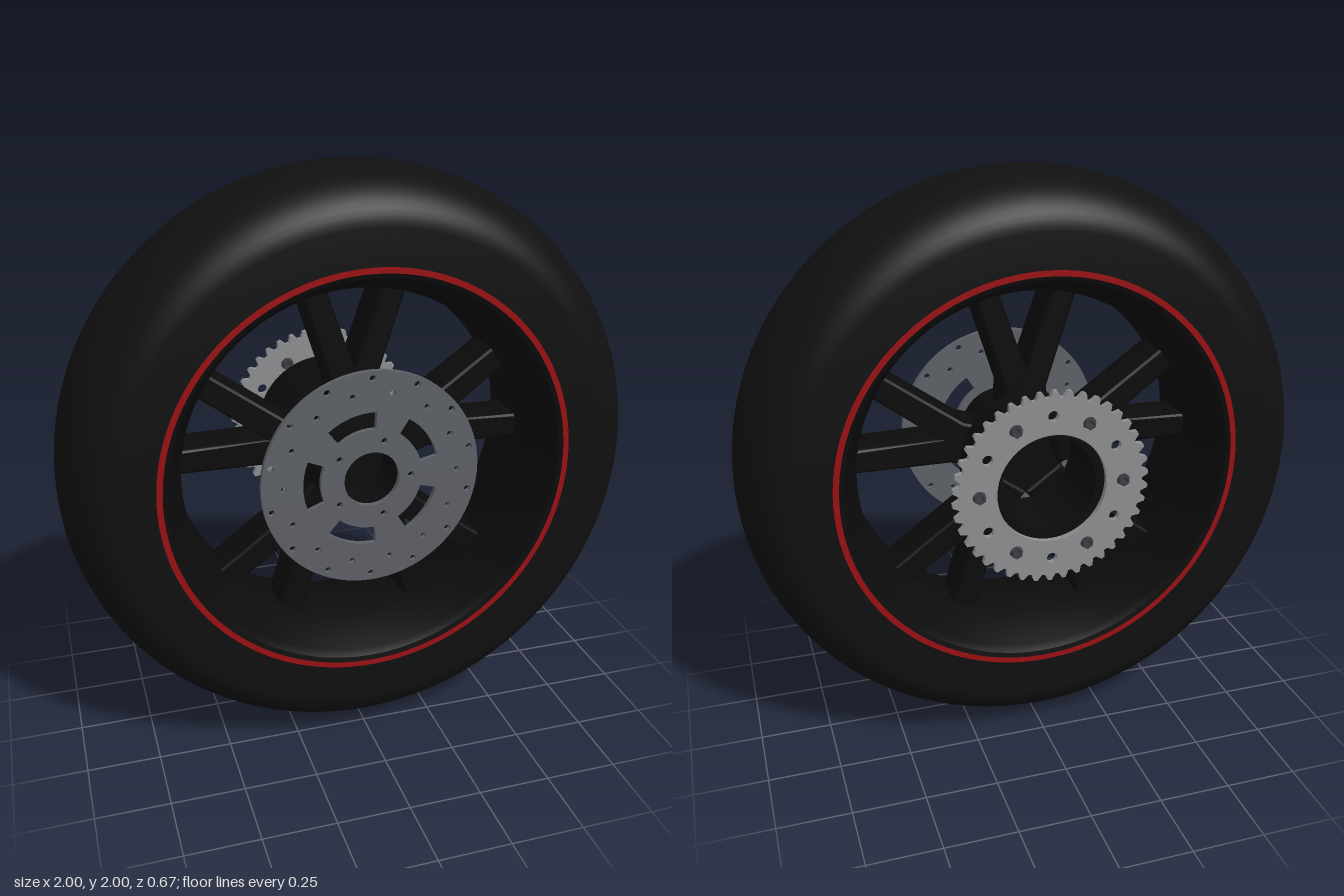
import * as THREE from 'three';
import { toCreasedNormals } from 'three/addons/utils/BufferGeometryUtils.js';

const mat = (name, color) => {
  const m = new THREE.MeshStandardMaterial({ color });
  m.name = name;
  return m;
};

export function createModel() {
  const rubber = mat('tyre black', 0x101010);
  const black = mat('rim black', 0x0b0b0b);
  const red = mat('stripe red', 0x990f12);
  const steel = mat('disc grey', 0x5d6066);
  const alloy = mat('sprocket grey', 0x8c8e90);
  const boltGrey = mat('bolt grey', 0x3a3c3f);

  const model = new THREE.Group();
  model.name = 'wheel';
  const wheel = new THREE.Group();
  wheel.name = 'wheelAssembly';
  wheel.position.y = 1;
  model.add(wheel);

  const add = (name, geometry, material, z = 0) => {
    const mesh = new THREE.Mesh(geometry, material);
    mesh.name = name;
    mesh.position.z = z;
    wheel.add(mesh);
    return mesh;
  };
  // Turned part about the z axis from [radius, z] pairs
  const turned = (pts, segments = 96) => toCreasedNormals(
    new THREE.LatheGeometry(pts.map(([r, z]) => new THREE.Vector2(r, z)), segments).rotateX(Math.PI / 2), 0.6);
  const polar = (r, a) => [r * Math.cos(a), r * Math.sin(a)];
  const hole = (x, y, r) => new THREE.Path().absarc(x, y, r, 0, Math.PI * 2, true);
  const holeRing = (shape, count, ringR, r, start) => {
    for (let i = 0; i < count; i++) {
      shape.holes.push(hole(...polar(ringR, start + i * 2 * Math.PI / count), r));
    }
  };
  const plate = (shape, depth, curveSegments = 12) => toCreasedNormals(
    new THREE.ExtrudeGeometry(shape, { depth, bevelEnabled: false, curveSegments }), 0.5);

  const midZ = 0.045, halfW = 0.285;

  // Tyre: flat sidewalls and an elliptical crown
  const tyre = [[0.70, -halfW]];
  for (let i = 0; i <= 28; i++) {
    const a = -Math.PI / 2 + i * Math.PI / 28;
    tyre.push([0.83 + 0.17 * Math.cos(a), halfW * Math.sin(a)]);
  }
  tyre.push([0.70, halfW]);
  add('tyre', turned(tyre, 128), rubber, midZ);

  // Rim: dropped centre, flaring to both edges
  const half = [[0.70, 0.285], [0.675, 0.28], [0.66, 0.255], [0.645, 0.19], [0.605, 0.11]];
  add('rim', turned([...half, ...half.map(([r, z]) => [r, -z]).reverse()], 128), black, midZ);

  // Red pinstripe on both sides
  for (const s of [1, -1]) {
    const stripe = new THREE.RingGeometry(0.69, 0.71, 128);
    if (s < 0) stripe.rotateY(Math.PI);
    add(s > 0 ? 'frontStripe' : 'backStripe', stripe, red, midZ + s * (halfW + 0.002));
  }

  // Five forked spokes
  const right = [[0.07, 0.12], [0.065, 0.26], [0.18, 0.62], [0.12, 0.64]];
  const outline = [...right, [0, 0.31], ...right.map(([x, y]) => [-x, y]).reverse()];
  const spokeGeo = toCreasedNormals(new THREE.ExtrudeGeometry(
    new THREE.Shape(outline.map(p => new THREE.Vector2(...p))),
    { depth: 0.12, bevelThickness: 0.02, bevelSize: 0.012, bevelSegments: 2 }), 0.5);
  for (let i = 0; i < 5; i++) {
    add('spoke', spokeGeo, black, midZ - 0.06).rotation.z = i * 2 * Math.PI / 5;
  }

  // Hub: open rear drum and front spindle with a blind bore
  add('rearDrum', turned([[0.165, -0.29], [0.24, -0.29], [0.24, -0.02], [0.165, -0.02], [0.165, -0.29]]), black);
  add('spindle', turned([[0, 0.03], [0.17, 0.03], [0.17, 0.12], [0.15, 0.18], [0.15, 0.30],
    [0.095, 0.30], [0.095, 0.15], [0, 0.15]]), black);

  // Brake disc with curved slots and drillings
  const disc = new THREE.Shape().absarc(0, 0, 0.375, 0, Math.PI * 2);
  disc.holes.push(hole(0, 0, 0.095));
  holeRing(disc, 14, 0.35, 0.011, Math.PI / 2);
  holeRing(disc, 14, 0.30, 0.010, 0);
  holeRing(disc, 5, 0.137, 0.011, 0);
  for (let i = 0; i < 5; i++) {
    const a = Math.PI / 5 + i * 2 * Math.PI / 5, w = 0.38;
    const slot = new THREE.Path();
    slot.absarc(0, 0, 0.235, a - w, a + w, false);
    slot.absarc(0, 0, 0.175, a + w, a - w, true);
    slot.closePath();
    disc.holes.push(slot);
  }
  add('brakeDisc', plate(disc, 0.02, 48), steel, 0.30);

  // Rear sprocket
  const teeth = 42, profile = [];
  for (let i = 0; i < teeth; i++) {
    for (const [t, r] of [[0, 0.318], [0.25, 0.318], [0.5, 0.34], [0.75, 0.34]]) {
      profile.push(new THREE.Vector2(...polar(r, (i + t) * 2 * Math.PI / teeth)));
    }
  }
  const sprocket = new THREE.Shape(profile);
  sprocket.holes.push(hole(0, 0, 0.19));
  holeRing(sprocket, 6, 0.25, 0.023, 0);
  holeRing(sprocket, 6, 0.255, 0.018, Math.PI / 6);
  add('sprocket', plate(sprocket, 0.02, 32), alloy, -0.325);

  // Sprocket bolts: hollow hexagonal sleeves bridging to the drum
  const sleeve = turned([[0.013, -0.334], [0.021, -0.334], [0.021, -0.285], [0.013, -0.285], [0.013, -0.334]], 6);
  for (let i = 0; i < 6; i++) {
    const bolt = add('sprocketBolt', sleeve, boltGrey);
    [bolt.position.x, bolt.position.y] = polar(0.25, i * Math.PI / 3);
  }
  return model;
}
